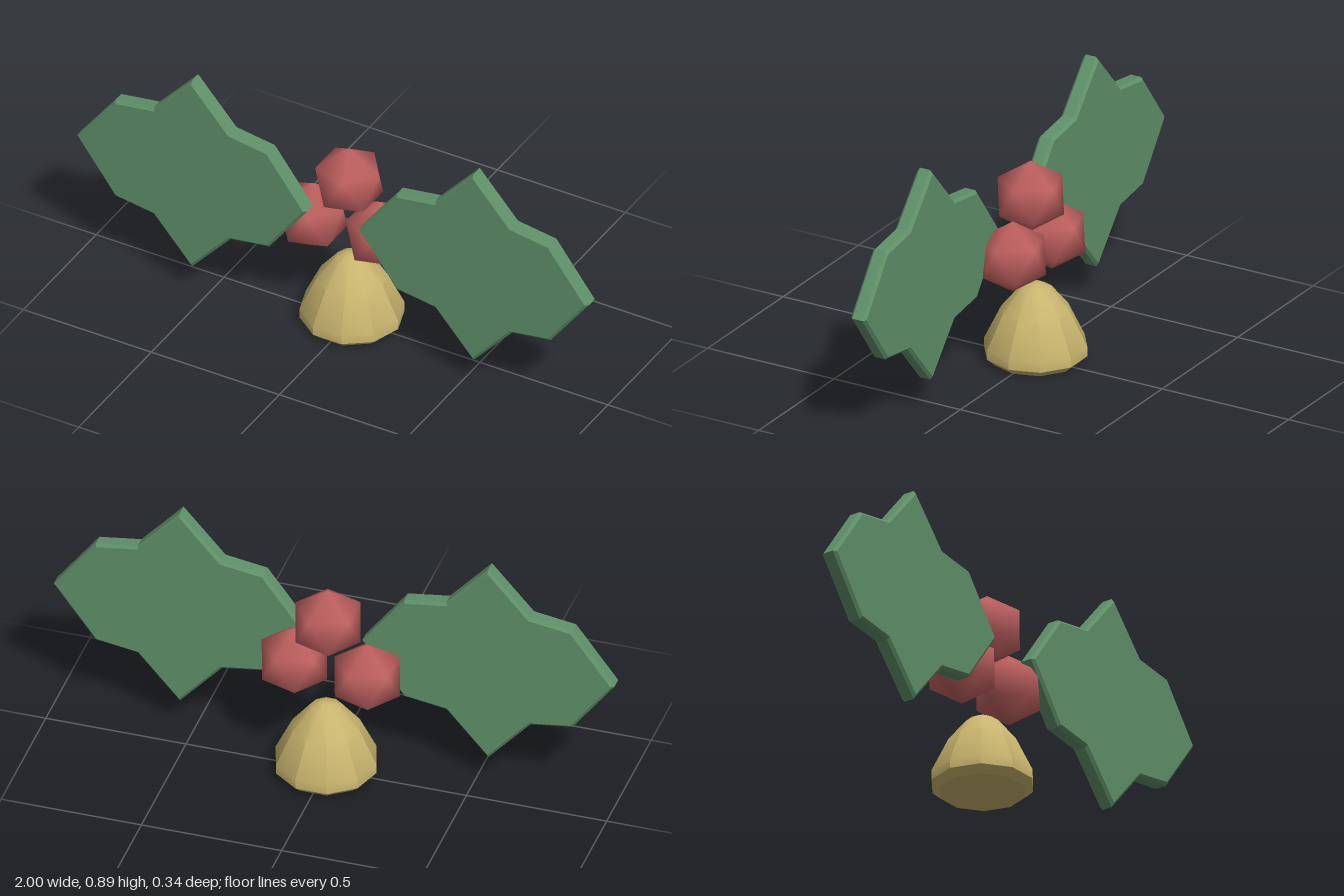
import * as THREE from 'three';
import { toCreasedNormals } from 'three/addons/utils/BufferGeometryUtils.js';

const paint = (name, color) => {
  const material = new THREE.MeshStandardMaterial({ color });
  material.name = name;
  return material;
};

// Thin pointed leaf plate with a small chamfer, built around its own centre
function leafGeometry() {
  const quarter = [[0.45, 0], [0.3, 0.2], [0.15, 0.222]];
  const points = [
    ...quarter,
    [0, 0.39],
    ...quarter.slice(1).reverse().map(([x, y]) => [-x, y]),
    [-0.45, 0],
    ...quarter.slice(1).map(([x, y]) => [-x, -y]),
    [0, -0.39],
    ...quarter.slice(1).reverse().map(([x, y]) => [x, -y]),
  ].map(([x, y]) => new THREE.Vector2(x, y));
  const geometry = new THREE.ExtrudeGeometry(new THREE.Shape(points), {
    depth: 0.04, bevelEnabled: true, bevelSegments: 1,
    bevelThickness: 0.01, bevelSize: 0.01, bevelOffset: -0.01,
  });
  return geometry.translate(0, 0, -0.02);
}

// Twenty-sided berry standing on a corner, with smooth normals
function berryGeometry() {
  const geometry = new THREE.IcosahedronGeometry(0.13, 0);
  geometry.rotateX(-Math.atan2(0.8507, 0.5257)).rotateY(Math.PI / 2);
  const position = geometry.attributes.position;
  const normal = new THREE.Vector3();
  for (let i = 0; i < position.count; i++) {
    normal.fromBufferAttribute(position, i).normalize();
    geometry.attributes.normal.setXYZ(i, normal.x, normal.y, normal.z);
  }
  return geometry;
}

// Ten-sided domed foot
function baseGeometry() {
  const profile = [
    [0, 0], [0.152, 0], [0.18, 0.025], [0.18, 0.06],
    [0.12, 0.185], [0.057, 0.262], [0.02, 0.282], [0, 0.282],
  ].map(([r, y]) => new THREE.Vector2(r, y));
  return toCreasedNormals(new THREE.LatheGeometry(profile, 10, Math.PI / 2), 0.52);
}

export function createModel() {
  const model = new THREE.Group();
  const green = paint('leaf green', 0x5f9069);
  const red = paint('berry red', 0xc06060);
  const gold = paint('straw gold', 0xc8b46e);

  const add = (name, geometry, material, x, y, z) => {
    const mesh = new THREE.Mesh(geometry, material);
    mesh.name = name;
    mesh.position.set(x, y, z);
    model.add(mesh);
  };

  add('base', baseGeometry(), gold, 0, 0, 0);

  const leaf = leafGeometry();
  add('leftLeaf', leaf, green, 0.55, 0.5, 0.11);
  add('rightLeaf', leaf, green, -0.55, 0.5, 0.11);

  const berry = berryGeometry();
  add('topBerry', berry, red, 0, 0.6, 0.02);
  add('leftBerry', berry, red, 0.12, 0.42, 0.02);
  add('rightBerry', berry, red, -0.14, 0.405, 0.02);

  return model;
}
